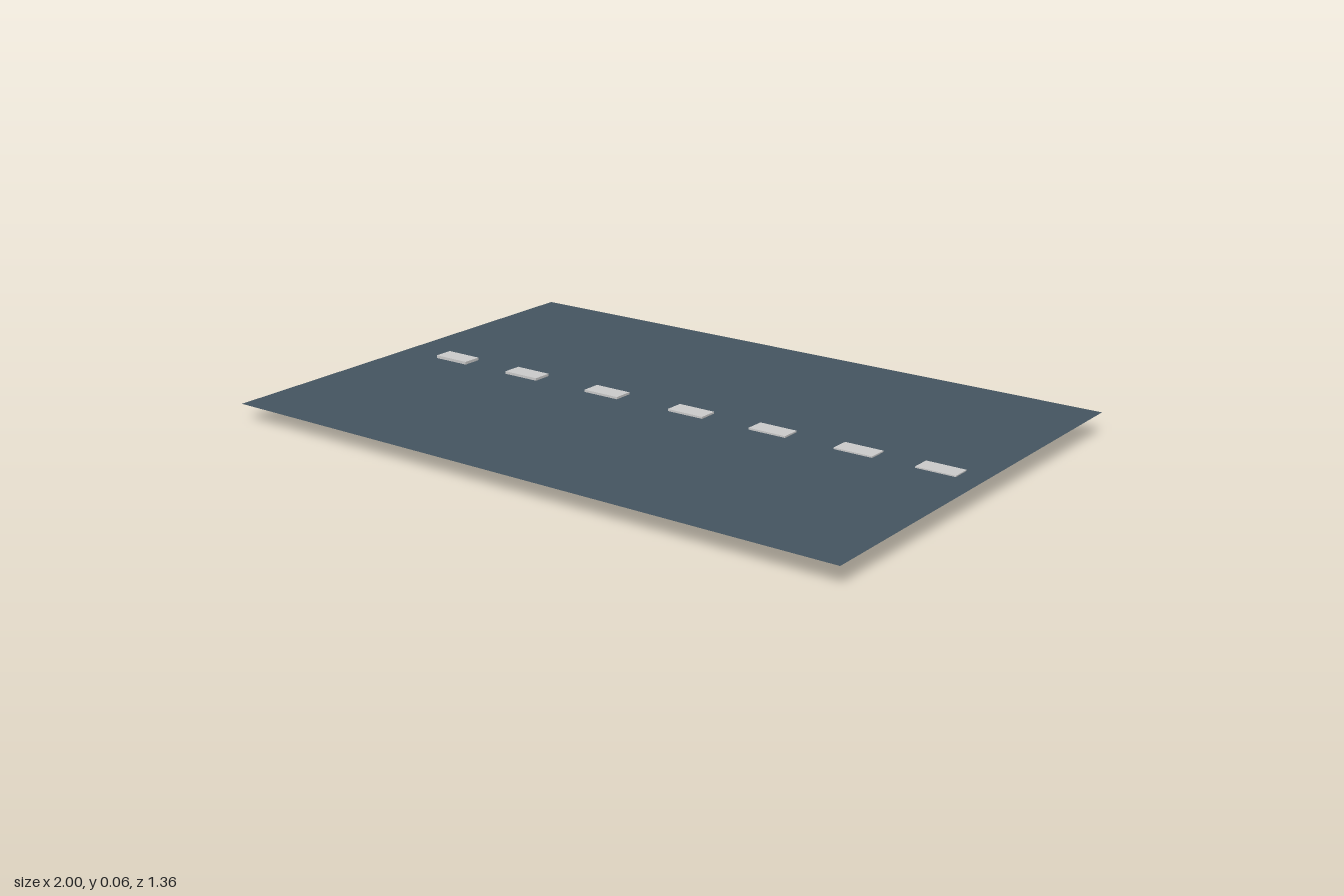
import * as THREE from 'three';

export function createModel() {
  const model = new THREE.Group();

  // Wide thin sheet, very slightly yawed and tilted
  const sheetMaterial = new THREE.MeshStandardMaterial({ color: 0x455560, side: THREE.DoubleSide });
  const sheet = new THREE.Mesh(new THREE.PlaneGeometry(1.994, 1.352).rotateX(-Math.PI / 2), sheetMaterial);
  sheet.name = 'groundSheet';
  sheet.position.y = 0.057;
  sheet.rotation.set(0.0065, -0.004, 0.003);
  model.add(sheet);

  // Row of blocks poking just through the sheet
  const block = { width: 0.118, height: 0.063, depth: 0.057 };
  const blockGeometry = new THREE.BoxGeometry(block.width, block.height, block.depth);
  const blockMaterial = new THREE.MeshStandardMaterial({ color: 0xcccccc });
  const row = new THREE.Group();
  row.name = 'blockRow';
  [-0.8, -0.523, -0.222, 0.076, 0.349, 0.62, 0.865].forEach((x, i) => {
    const mesh = new THREE.Mesh(blockGeometry, blockMaterial);
    mesh.name = `block${i + 1}`;
    mesh.position.set(x, block.height / 2, -0.008);
    row.add(mesh);
  });
  model.add(row);

  return model;
}
